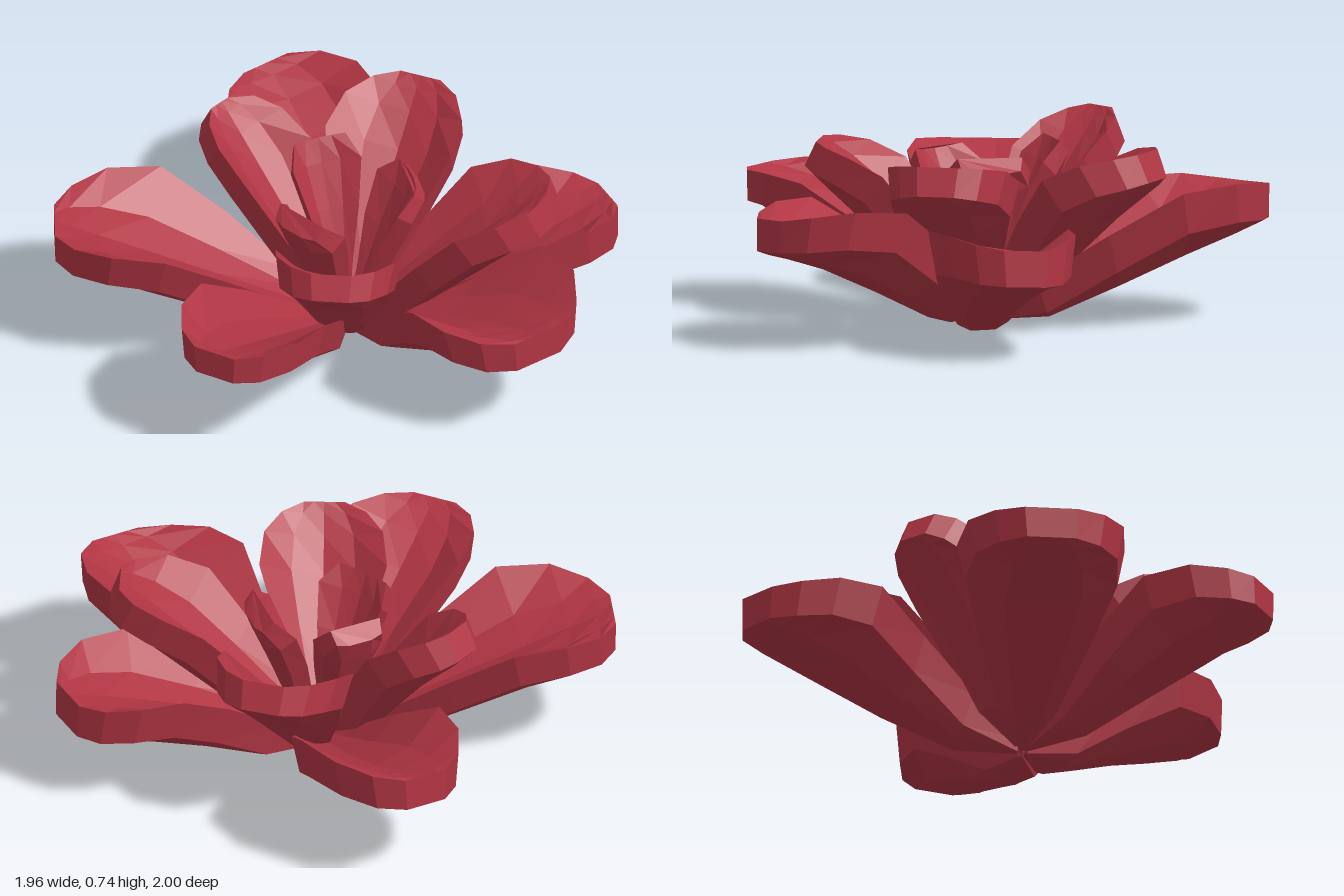
import * as THREE from 'three';

// Stations along a petal: [distance, half width, rim height, thickness], as fractions
const ROUND = [
  [0, 0.04, 0, 0.4], [0.2, 0.38, 0.28, 1], [0.45, 0.73, 0.72, 1], [0.69, 1, 1, 1],
  [0.85, 0.93, 0.62, 1], [0.95, 0.66, 0.22, 1], [1, 0.32, 0, 0.95],
];
const FAN = [
  [0, 0.04, 0, 0.4], [0.3, 0.36, 0.3, 1], [0.6, 0.72, 0.7, 1], [0.86, 1, 0.8, 1], [1, 0.75, 0.3, 0.8],
];
const TOP = [-1, -0.5, 0, 0.5, 1];
const BOTTOM = [0.91, 0.45, -0.45, -0.91];

// A thick cupped petal lying along +z, made of closed cross-sections that turn with its bend
function petalGeometry(stations, length, half, thick, bend) {
  const n = TOP.length + BOTTOM.length;
  const cup = half * 0.55;
  const pos = [], index = [];
  for (const [t, w, rim, th] of stations) {
    const shift = bend * 4 * t * (1 - t);
    const slope = bend * 4 * (1 - 2 * t) / length;
    const add = (s, drop, reach) => {
      const x = s * w * half;
      pos.push(shift + x, rim * cup * s * s - drop, t * length * reach - x * slope);
    };
    for (const s of TOP) add(s, 0, 1);
    for (const s of BOTTOM) add(s, thick * th, 0.96);
  }
  for (let i = 0; i < stations.length - 1; i++) {
    for (let j = 0; j < n; j++) {
      const a = i * n + j, d = i * n + (j + 1) % n;
      index.push(a, a + n, d + n, a, d + n, d);
    }
  }
  // End caps, joining the top strip to the bottom strip
  const last = (stations.length - 1) * n;
  for (let j = 1; j < n - 1; j++) {
    index.push(0, j, j + 1, last, last + j + 1, last + j);
  }
  const indexed = new THREE.BufferGeometry();
  indexed.setAttribute('position', new THREE.Float32BufferAttribute(pos, 3));
  indexed.setIndex(index);
  const flat = indexed.toNonIndexed();
  flat.computeVertexNormals();
  return flat;
}

// Each petal: tip x, tip z, tip height, half width, thickness, sideways bend
const RINGS = [
  { name: 'outerPetal', stations: ROUND, petals: [
    [0.255, -0.995, 0.49, 0.285, 0.125, -0.08],
    [-0.93, -0.49, 0.51, 0.31, 0.115, 0],
    [-0.83, 0.52, 0.5, 0.265, 0.105, 0],
    [0.27, 0.995, 0.49, 0.31, 0.118, 0.07],
    [0.975, 0.28, 0.43, 0.265, 0.135, -0.05],
  ] },
  { name: 'middlePetal', stations: ROUND, petals: [
    [0.57, -0.4, 0.69, 0.25, 0.11, 0],
    [-0.18, -0.56, 0.74, 0.19, 0.11, 0],
    [-0.33, 0.51, 0.67, 0.235, 0.1, 0],
    [0.61, 0.47, 0.7, 0.24, 0.11, 0],
  ] },
  { name: 'innerPetal', stations: FAN, petals: [
    [0.06, -0.27, 0.67, 0.135, 0.06, 0],
    [-0.23, 0.09, 0.62, 0.15, 0.06, 0],
    [0.26, 0.09, 0.64, 0.16, 0.06, 0],
  ] },
];
const BASE = new THREE.Vector3(0.02, 0.06, 0.02);

export function createModel() {
  const model = new THREE.Group();
  model.name = 'flower';
  const petalRed = new THREE.MeshStandardMaterial({ color: 0xb03543 });
  petalRed.name = 'petalRed';

  for (const { name, stations, petals } of RINGS) {
    petals.forEach(([x, z, height, half, thick, bend], i) => {
      const dir = new THREE.Vector3(x, height, z).sub(BASE);
      const reach = Math.hypot(dir.x, dir.z);
      const mesh = new THREE.Mesh(petalGeometry(stations, dir.length(), half, thick, bend), petalRed);
      mesh.name = name + (i + 1);
      mesh.position.copy(BASE);
      mesh.rotation.set(-Math.atan2(dir.y, reach), Math.atan2(dir.x, dir.z), 0, 'YXZ');
      model.add(mesh);
    });
  }

  // Pointed base where the petals meet
  const cone = new THREE.ConeGeometry(0.045, 0.1, 6).toNonIndexed();
  cone.computeVertexNormals();
  const base = new THREE.Mesh(cone, petalRed);
  base.name = 'flowerBase';
  base.rotation.x = Math.PI;
  base.position.set(0.03, 0.05, 0.03);
  model.add(base);
  return model;
}
